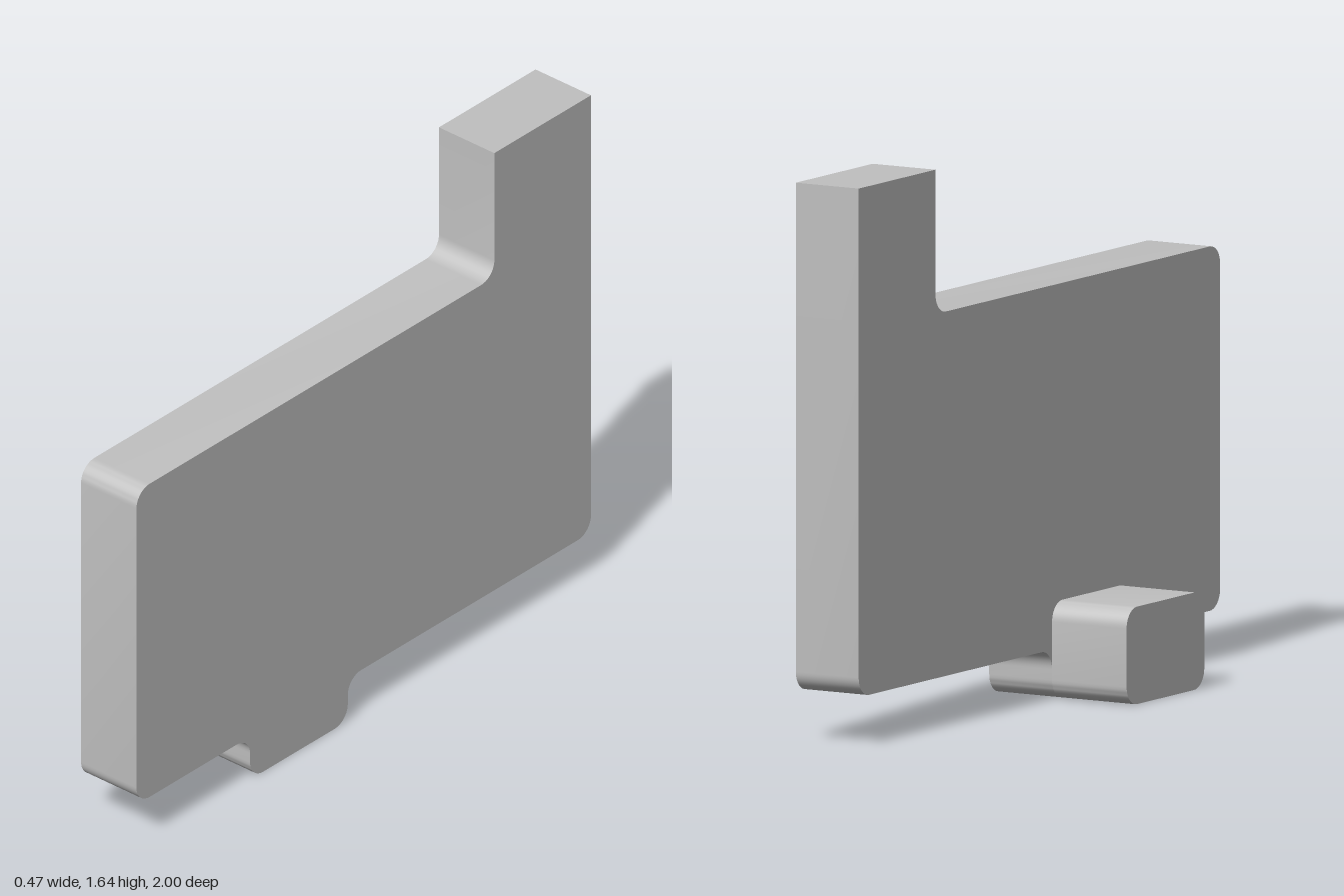
import * as THREE from 'three';
import { toCreasedNormals } from 'three/addons/utils/BufferGeometryUtils.js';

// Closed outline from [u, y, radius] corners, each rounded by its radius
function roundedOutline(corners) {
  const shape = new THREE.Shape();
  const n = corners.length;
  const k = 0.5523; // cubic handle length for a quarter circle
  corners.forEach(([u, y, r], i) => {
    const c = new THREE.Vector2(u, y);
    const toward = (j) => new THREE.Vector2(corners[j][0], corners[j][1]).sub(c).normalize();
    const back = toward((i + n - 1) % n);
    const next = toward((i + 1) % n);
    const at = (dir, d) => c.clone().addScaledVector(dir, d);
    const start = at(back, r);
    if (i === 0) shape.moveTo(start.x, start.y);
    else shape.lineTo(start.x, start.y);
    if (r > 0) {
      const h1 = at(back, r * (1 - k)), h2 = at(next, r * (1 - k)), end = at(next, r);
      shape.bezierCurveTo(h1.x, h1.y, h2.x, h2.y, end.x, end.y);
    }
  });
  shape.closePath();
  return shape;
}

// Extrudes a side outline (u = -z) from x0 to x1
function sidePart(name, corners, x0, x1, material) {
  const extruded = new THREE.ExtrudeGeometry(roundedOutline(corners), {
    depth: x1 - x0, bevelEnabled: false, curveSegments: 10,
  });
  extruded.rotateY(Math.PI / 2).translate(x0, 0, 0);
  const mesh = new THREE.Mesh(toCreasedNormals(extruded, 0.5), material);
  mesh.name = name;
  return mesh;
}

export function createModel() {
  const group = new THREE.Group();
  group.name = 'bracket';
  const grey = new THREE.MeshStandardMaterial({ color: 0xc0c0c0 });
  grey.name = 'grey';
  const r = 0.058;

  // Flat plate with a raised rear arm and a small lower tab
  group.add(sidePart('plate', [
    [-1, 0.147, r], [-0.5, 0.147, r], [-0.5, 0, r], [-0.07, 0, r], [-0.07, 0.147, r],
    [1, 0.147, r], [1, 1.645, 0], [0.575, 1.645, 0], [0.575, 1.22, r], [-1, 1.22, r],
  ], 0.02, 0.235, grey));

  // Rounded peg standing out from the tab
  group.add(sidePart('peg', [
    [-0.5, 0, r], [-0.07, 0, r], [-0.07, 0.287, r], [-0.5, 0.287, r],
  ], -0.235, 0.02, grey));

  return group;
}
